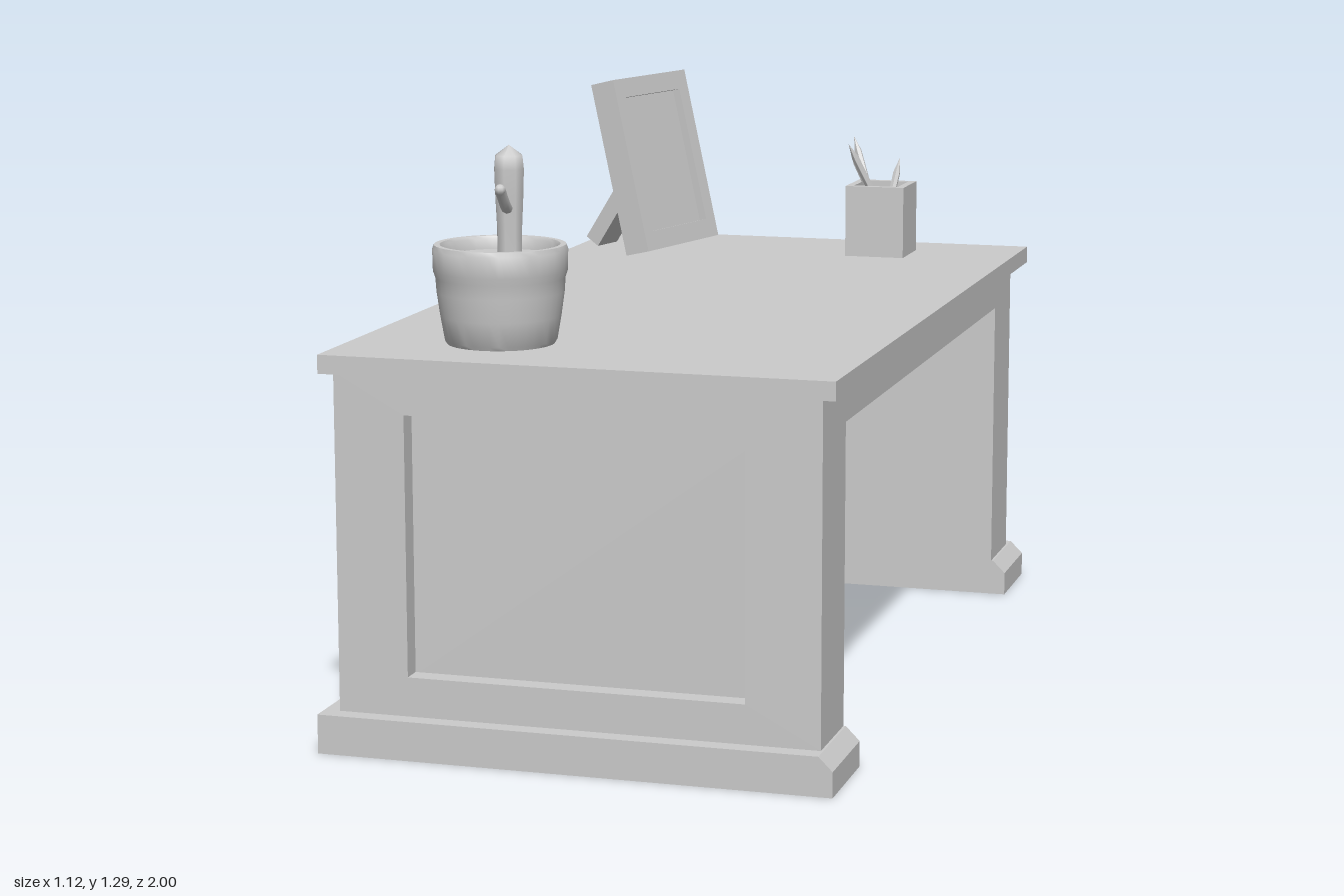
import * as THREE from 'three';
import { toCreasedNormals } from 'three/addons/utils/BufferGeometryUtils.js';

const grey = new THREE.MeshStandardMaterial({ color: 0xcccccc });
const V = (x, y, z) => new THREE.Vector3(x, y, z);

function add(parent, name, geometry) {
  const mesh = new THREE.Mesh(geometry, grey);
  mesh.name = name;
  parent.add(mesh);
  return mesh;
}

function group(parent, name) {
  const g = new THREE.Group();
  g.name = name;
  parent.add(g);
  return g;
}

// Box given by its limits on each axis
function box(parent, name, [x0, x1], [y0, y1], [z0, z1]) {
  const mesh = add(parent, name, new THREE.BoxGeometry(x1 - x0, y1 - y0, z1 - z0));
  mesh.position.set((x0 + x1) / 2, (y0 + y1) / 2, (z0 + z1) / 2);
  return mesh;
}

function rectPoints(x0, x1, y0, y1) {
  return [[x0, y0], [x1, y0], [x1, y1], [x0, y1]].map(p => new THREE.Vector2(...p));
}

// Rectangular border with a rectangular opening, extruded from z = 0 to depth
function border(outer, inner, depth) {
  const shape = new THREE.Shape(rectPoints(...outer));
  shape.holes.push(new THREE.Path(rectPoints(...inner).reverse()));
  return new THREE.ExtrudeGeometry(shape, { depth, bevelEnabled: false });
}

function buildDesk(root) {
  const desk = group(root, 'desk');
  box(desk, 'deskTop', [-0.545, 0.56], [0.815, 0.855], [-0.996, 0.996]);

  // Solid cores around the knee space
  box(desk, 'backCore', [-0.48, -0.3], [0.085, 0.815], [-0.77, 0.77]);
  box(desk, 'kneeSpaceCeiling', [-0.3, 0.525], [0.73, 0.815], [-0.77, 0.77]);
  box(desk, 'backPlinth', [-0.56, -0.3], [0, 0.085], [-0.77, 0.77]);

  const plinthShape = new THREE.Shape([[-0.56, 0], [0.56, 0], [0.56, 0.055], [0.53, 0.085], [-0.56, 0.085]]
    .map(p => new THREE.Vector2(...p)));
  const panel = border([-0.525, 0.525, 0.085, 0.815], [-0.37, 0.365, 0.17, 0.73], 0.045);

  for (const s of [1, -1]) {
    const side = s > 0 ? 'front' : 'rear';
    box(desk, side + 'PedestalCore', [-0.48, 0.525], [0.085, 0.815], s > 0 ? [0.77, 0.915] : [-0.915, -0.77]);
    add(desk, side + 'PanelFrame', panel).position.z = s > 0 ? 0.915 : -0.96;
    add(desk, side + 'Plinth', new THREE.ExtrudeGeometry(plinthShape, { depth: 0.23, bevelEnabled: false }))
      .position.z = s > 0 ? 0.77 : -1;
  }

  // Long recessed panel on the closed side
  const long = add(desk, 'longPanelFrame',
    border([-0.915, 0.915, 0.085, 0.815], [-0.77, 0.765, 0.17, 0.73], 0.045));
  long.rotation.y = -Math.PI / 2;
  long.position.x = -0.48;
}

function buildPlant(root) {
  const plant = group(root, 'pottedCactus');
  plant.position.set(-0.232, 0.855, 0.743);

  const pot = [[0, 0], [0.114, 0], [0.119, 0.008], [0.128, 0.06], [0.135, 0.11], [0.137, 0.14], [0.142, 0.155],
    [0.143, 0.2], [0.139, 0.21], [0.127, 0.21], [0.123, 0.204], [0.121, 0.182], [0, 0.182]];
  add(plant, 'pot', toCreasedNormals(
    new THREE.LatheGeometry(pot.map(p => new THREE.Vector2(...p)), 40), 0.7));

  const stem = [[0.027, 0.17], [0.028, 0.25], [0.031, 0.31], [0.033, 0.37], [0.03, 0.398], [0, 0.42]];
  add(plant, 'cactusStem', new THREE.LatheGeometry(stem.map(p => new THREE.Vector2(...p)), 8))
    .position.set(0.024, 0, 0.007);

  // Two bent arms with rounded tips
  const arms = [
    [V(0.024, 0.285, 0.01), V(0.03, 0.295, 0.045), V(0.033, 0.335, 0.088)],
    [V(0.024, 0.3, 0), V(0.018, 0.313, -0.045), V(0.015, 0.38, -0.064)],
  ];
  for (const pts of arms) {
    add(plant, 'cactusArm', new THREE.TubeGeometry(new THREE.CatmullRomCurve3(pts), 10, 0.012, 8));
    add(plant, 'cactusArmTip', new THREE.SphereGeometry(0.012, 8, 6)).position.copy(pts[2]);
  }
}

function buildPictureFrame(root) {
  const stand = group(root, 'pictureFrame');
  stand.position.set(-0.265, 0.87, -0.712);
  stand.rotation.y = 1.333;

  // Leaning slab with a shallow window
  const lean = group(stand, 'leaningFrame');
  lean.rotation.x = -0.235;
  const w = 0.1745, h = 0.433;
  add(lean, 'frameBorder', border([-w, w, 0, h], [-w + 0.043, w - 0.043, 0.047, h - 0.047], 0.02))
    .position.z = -0.02;
  box(lean, 'frameBack', [-w, w], [0, h], [-0.066, -0.02]);

  // Prop leg behind the slab
  const prop = group(stand, 'propPivot');
  prop.position.set(-0.052, 0.002, -0.212);
  prop.rotation.x = 0.583;
  box(prop, 'propLeg', [-0.046, 0.046], [0, 0.2], [-0.02, 0.02]);
}

function buildPencilCup(root) {
  const cup = group(root, 'pencilCup');
  cup.position.set(0.229, 0.855, -0.781);
  const r = 0.0735, t = 0.018;
  const walls = add(cup, 'cupWalls', border([-r, r, -r, r], [-r + t, r - t, -r + t, r - t], 0.175));
  walls.rotation.x = -Math.PI / 2;
  box(cup, 'cupFloor', [-r + t, r - t], [0, 0.015], [-r + t, r - t]);

  // Pencils as [base, tip]
  const pencils = [
    [V(0.01, 0.016, 0), V(-0.09, 0.284, -0.077)],
    [V(0.045, 0.016, 0.026), V(-0.074, 0.265, 0.028)],
    [V(0.045, 0.016, -0.01), V(-0.066, 0.28, 0.077)],
    [V(0, 0.016, 0.01), V(0.032, 0.235, -0.068)],
  ];
  for (const [base, tip] of pencils) {
    const length = base.distanceTo(tip), r = 0.009, point = 0.04;
    const profile = [[0, 0], [r, 0], [r, length - point], [0, length]].map(p => new THREE.Vector2(...p));
    const pencil = add(cup, 'pencil', toCreasedNormals(new THREE.LatheGeometry(profile, 6), 0.3));
    pencil.position.copy(base);
    pencil.quaternion.setFromUnitVectors(V(0, 1, 0), tip.clone().sub(base).normalize());
  }
}

export function createModel() {
  const root = new THREE.Group();
  root.name = 'deskWithItems';
  buildDesk(root);
  buildPlant(root);
  buildPictureFrame(root);
  buildPencilCup(root);
  return root;
}
